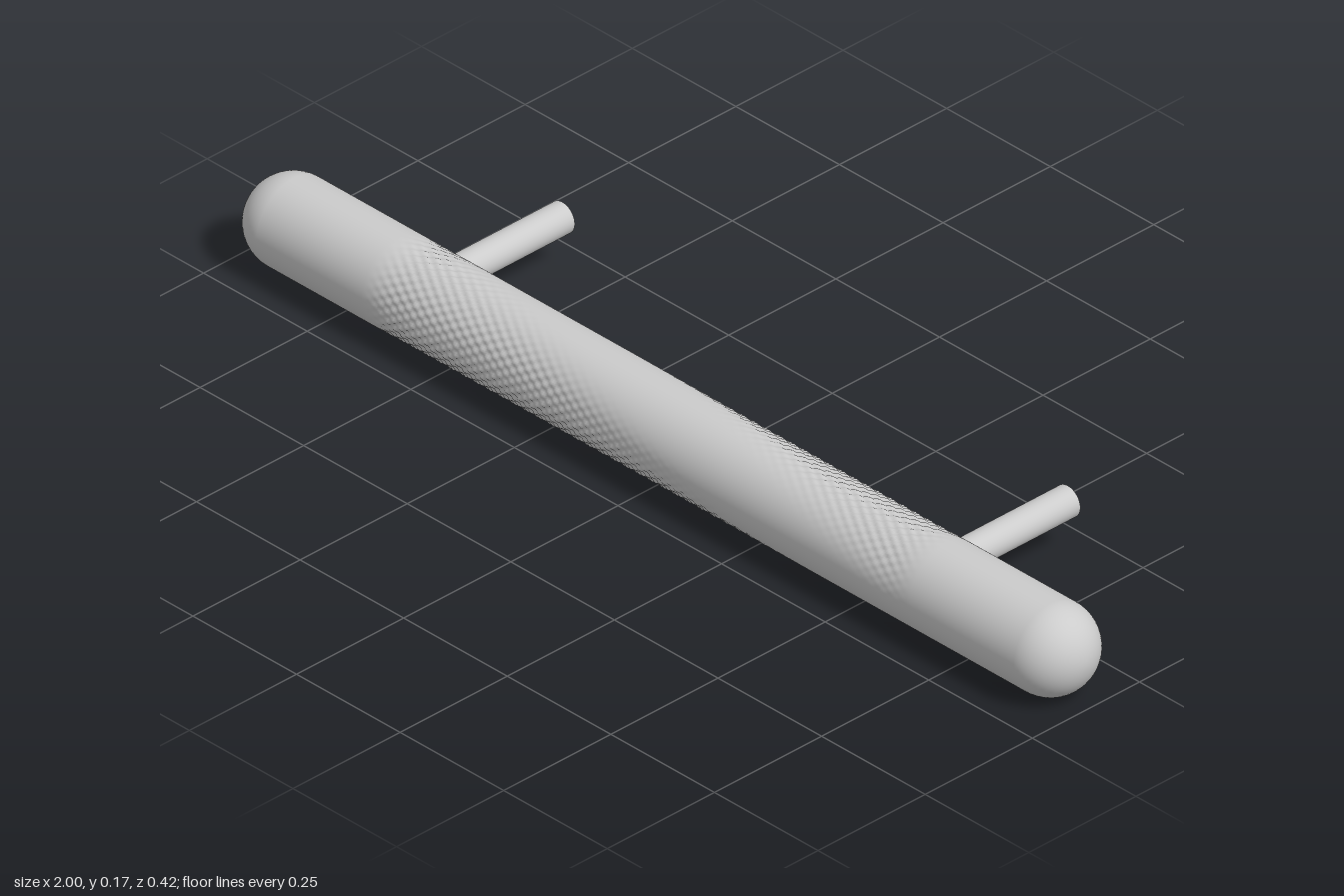
import * as THREE from 'three';
import { mergeVertices } from 'three/addons/utils/BufferGeometryUtils.js';

const R = 0.0865, CY = 0.088, CZ = 0.124;
const GRIP = 0.66;          // half length of the dimpled grip
const PITCH = 0.03;         // dimple spacing along the bar
const AROUND = 28;          // dimples around the bar
const DEPTH = 0.005;

// Dimples fade out along a smooth band that spirals round the bar.
function dimple(x, a) {
  const ends = 1 - THREE.MathUtils.smoothstep(Math.abs(x), GRIP - 0.08, GRIP);
  const band = ((0.35 - x) / 0.45) * Math.PI / 2;
  const away = (1 - Math.cos(a - band)) / 2;
  const fade = THREE.MathUtils.smoothstep(away, 0.08, 0.6);
  const wave = 0.5 - 0.5 * Math.cos((2 * Math.PI * x) / PITCH) * Math.cos(AROUND * a);
  return DEPTH * ends * fade * wave;
}

function barGeometry() {
  const profile = [];
  const capX = 1 - R, capSteps = 14;
  for (let i = 0; i <= capSteps; i++) {
    const t = (i / capSteps) * Math.PI / 2;
    profile.push(new THREE.Vector2(R * Math.sin(t), -capX - R * Math.cos(t)));
  }
  const steps = 264;
  for (let i = 0; i <= steps; i++) profile.push(new THREE.Vector2(R, -GRIP + (2 * GRIP * i) / steps));
  for (let i = capSteps; i >= 0; i--) {
    const t = (i / capSteps) * Math.PI / 2;
    profile.push(new THREE.Vector2(R * Math.sin(t), capX + R * Math.cos(t)));
  }
  let geo = new THREE.LatheGeometry(profile, AROUND * 6);
  geo.rotateZ(-Math.PI / 2);
  geo.deleteAttribute('uv');
  geo.deleteAttribute('normal');
  geo = mergeVertices(geo, 1e-5);

  // Press the dimples into the surface
  const p = geo.attributes.position;
  for (let i = 0; i < p.count; i++) {
    const x = p.getX(i), y = p.getY(i), z = p.getZ(i);
    if (Math.abs(x) > GRIP) continue;
    const s = 1 - dimple(x, Math.atan2(y, z)) / R;
    p.setXYZ(i, x, y * s, z * s);
  }
  geo.computeVertexNormals();
  return geo;
}

export function createModel() {
  const model = new THREE.Group();
  model.name = 'pullHandle';
  const material = new THREE.MeshStandardMaterial({ color: 0xcccccc });

  // Round-ended grip bar
  const bar = new THREE.Mesh(barGeometry(), material);
  bar.name = 'gripBar';
  bar.position.set(0, CY, CZ);
  model.add(bar);

  // Mounting posts reaching back from the bar
  const back = -0.21, length = CZ - 0.04 - back;
  const postGeometry = new THREE.CylinderGeometry(0.03, 0.03, length, 48).rotateX(Math.PI / 2);
  for (const side of [-1, 1]) {
    const post = new THREE.Mesh(postGeometry, material);
    post.name = side > 0 ? 'leftPost' : 'rightPost';
    post.position.set(side * 0.61, CY, back + length / 2);
    model.add(post);
  }
  return model;
}
